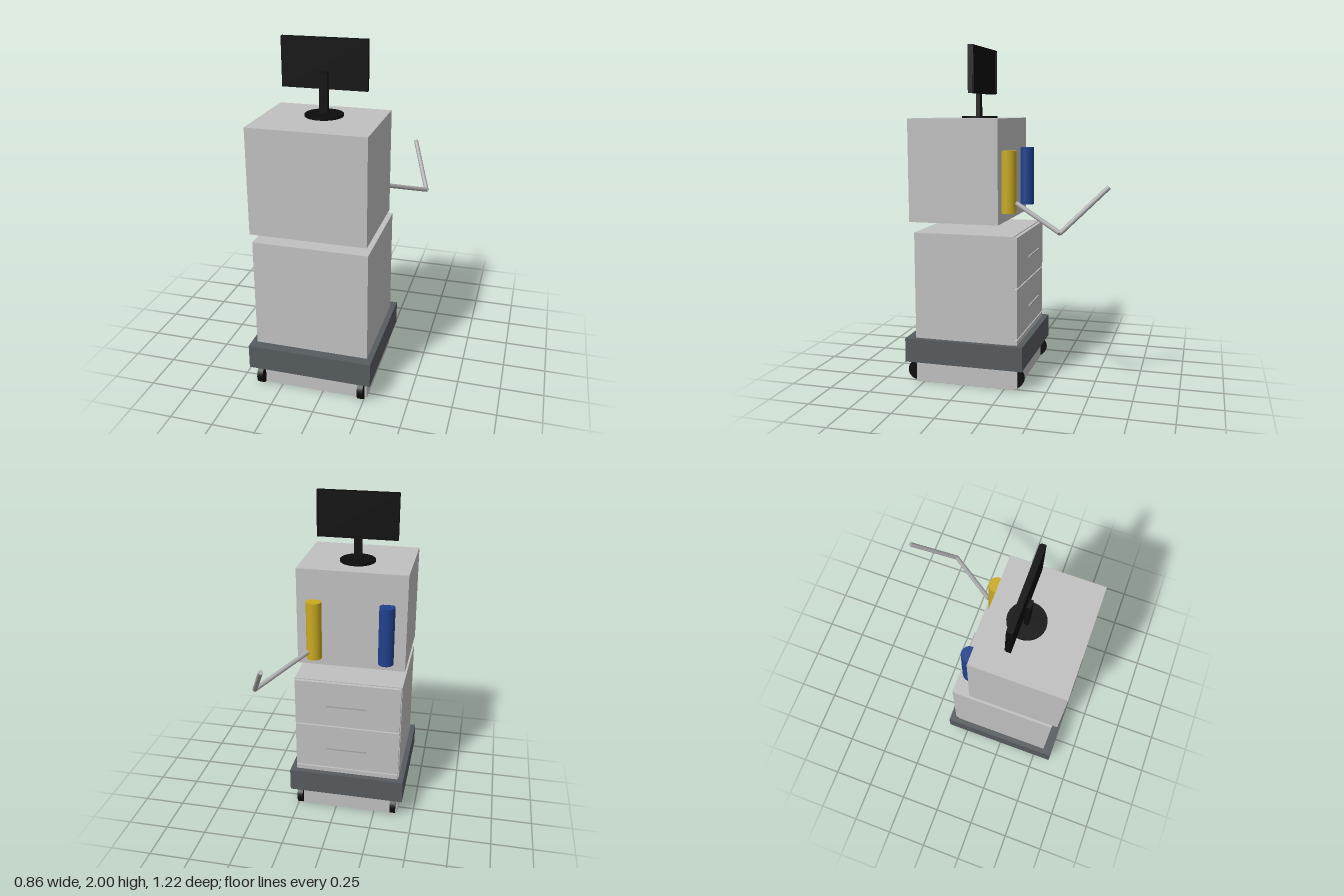
import * as THREE from 'three';

const mat = (name, color) => {
  const m = new THREE.MeshStandardMaterial({ color });
  m.name = name;
  return m;
};

export function createModel() {
  const root = new THREE.Group();
  root.name = 'equipmentTrolley';
  const panelGrey = mat('panelGrey', 0xc0c0c0);
  const bumperGrey = mat('bumperGrey', 0x565b5f);
  const black = mat('black', 0x0c0c0c);
  const steel = mat('steel', 0xa9a9ab);
  const yellow = mat('yellow', 0xcaaa20);
  const blue = mat('blue', 0x20418c);

  const add = (name, geometry, material, parent = root) => {
    const mesh = new THREE.Mesh(geometry, material);
    mesh.name = name;
    parent.add(mesh);
    return mesh;
  };
  // Box given by its extents on each axis
  const box = (name, [x0, x1], [y0, y1], [z0, z1], material, parent) => {
    const mesh = add(name, new THREE.BoxGeometry(x1 - x0, y1 - y0, z1 - z0), material, parent);
    mesh.position.set((x0 + x1) / 2, (y0 + y1) / 2, (z0 + z1) / 2);
    return mesh;
  };
  const group = (name) => {
    const g = new THREE.Group();
    g.name = name;
    root.add(g);
    return g;
  };

  // Cabinet with three drawers opening at the back
  const cabinet = group('cabinet');
  box('cabinetBody', [-0.4, 0.262], [0, 0.912], [-0.056, 0.55], panelGrey, cabinet);
  for (let i = 0; i < 3; i++) {
    const y = i * 0.304;
    box('drawerFront', [-0.395, 0.257], [y + 0.003, y + 0.299], [-0.078, -0.056], panelGrey, cabinet);
    box('drawerHandle', [-0.19, 0.055], [y + 0.148, y + 0.158], [-0.105, -0.095], steel, cabinet);
  }

  // Bumper around the cabinet foot
  box('bumper', [-0.432, 0.294], [0.126, 0.27], [-0.115, 0.608], bumperGrey);

  // Wheels at the four corners
  for (const x of [-0.372, 0.234]) {
    for (const z of [-0.054, 0.548]) {
      const wheel = add('wheel', new THREE.CylinderGeometry(0.06, 0.06, 0.034, 20), black);
      wheel.rotation.z = Math.PI / 2;
      wheel.position.set(x, 0.064, z);
    }
  }

  // Upper housing
  box('upperHousing', [-0.4, 0.262], [0.974, 1.58], [0.035, 0.58], panelGrey);

  // Canisters sunk into the back of the housing
  for (const [name, x, material] of [['yellowCanister', 0.15, yellow], ['blueCanister', -0.286, blue]]) {
    add(name, new THREE.CylinderGeometry(0.047, 0.047, 0.362, 16), material).position.set(x, 1.214, 0.002);
  }

  // Jointed arm
  const arm = group('arm');
  const joints = [[0.175, 1.093, -0.055], [0.416, 0.972, -0.357], [0.295, 1.215, -0.6]]
    .map((p) => new THREE.Vector3(...p));
  for (let i = 0; i < 2; i++) {
    const dir = joints[i + 1].clone().sub(joints[i]);
    const link = add(i ? 'foreArm' : 'upperArm', new THREE.CylinderGeometry(0.0135, 0.0135, dir.length(), 12), steel, arm);
    link.position.copy(joints[i]).addScaledVector(dir, 0.5);
    link.quaternion.setFromUnitVectors(new THREE.Vector3(0, 1, 0), dir.normalize());
  }

  // Monitor with its screen facing the back
  const monitor = group('monitor');
  add('monitorFoot', new THREE.CylinderGeometry(0.108, 0.108, 0.012, 24), black, monitor).position.set(-0.068, 1.586, 0.245);
  box('monitorStand', [-0.092, -0.044], [1.585, 1.82], [0.235, 0.26], black, monitor);
  box('monitorBody', [-0.31, 0.174], [1.725, 2], [0.211, 0.238], black, monitor);
  for (const [y0, y1] of [[1.728, 1.738], [1.987, 1.997]]) {
    box('bezelRail', [-0.307, 0.171], [y0, y1], [0.204, 0.211], black, monitor);
  }
  for (const [x0, x1] of [[-0.307, -0.297], [0.161, 0.171]]) {
    box('bezelSide', [x0, x1], [1.738, 1.987], [0.204, 0.211], black, monitor);
  }

  return root;
}
